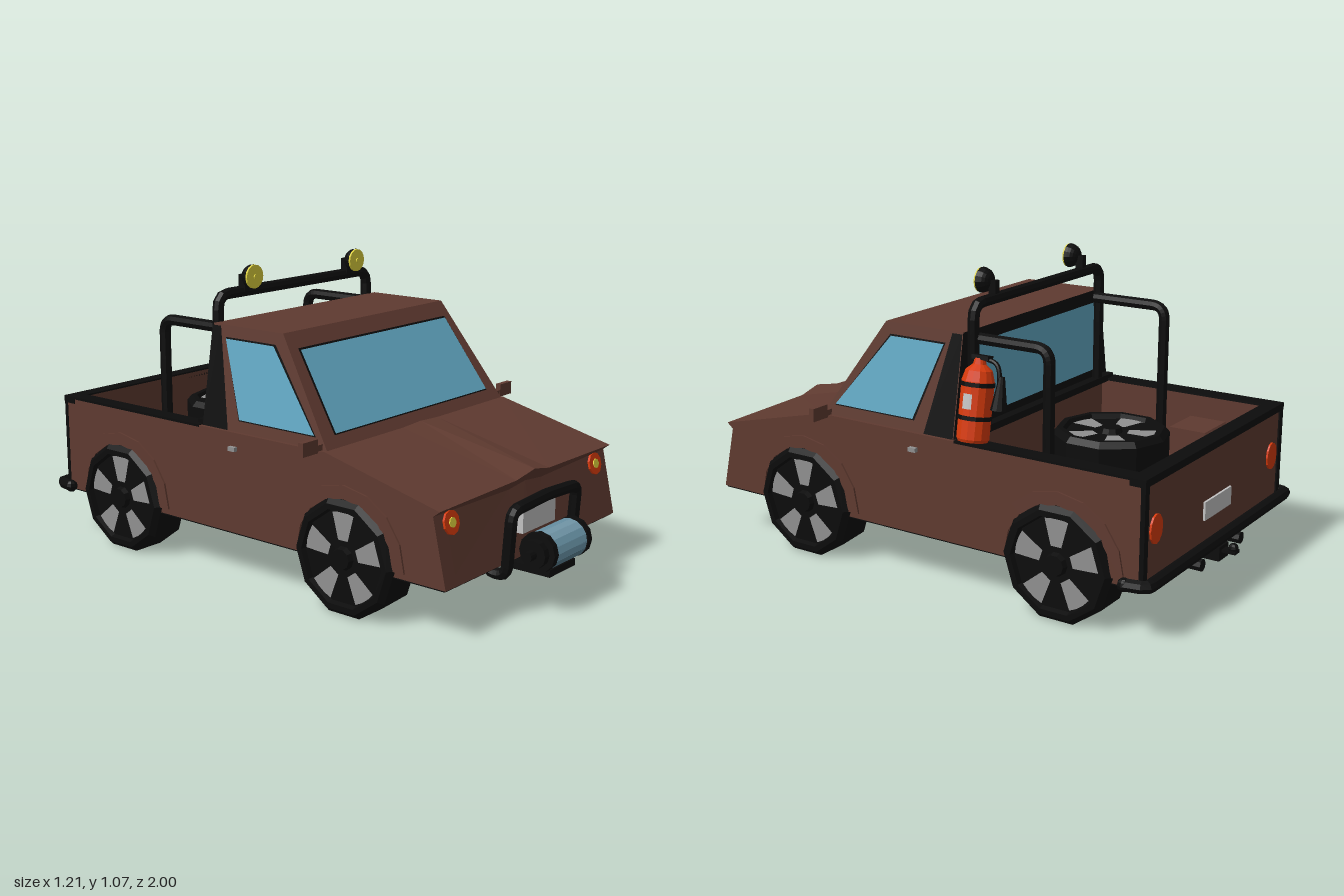
import * as THREE from 'three';

const mat = (name, color) => Object.assign(new THREE.MeshStandardMaterial({ color, flatShading: true }), { name });
const V = (x, y, z) => new THREE.Vector3(x, y, z);

export function createModel() {
  const brown = mat('brown paint', 0x5f3a30), black = mat('black rubber', 0x0c0c0c);
  const glass = mat('blue glass', 0x62a8c4), red = mat('orange red', 0xd63a0c);
  const yellow = mat('lamp yellow', 0xdccf3c), white = mat('plate grey', 0xc2c2c2);
  const grey = mat('wheel grey', 0x909090), steel = mat('cable steel', 0x5d8496);
  const truck = new THREE.Group();
  truck.name = 'pickupTruck';

  function add(name, geo, m, x = 0, y = 0, z = 0, parent = truck) {
    const mesh = new THREE.Mesh(geo, m);
    mesh.name = name;
    mesh.position.set(x, y, z);
    parent.add(mesh);
    return mesh;
  }
  // box from its limits
  const box = (name, m, x0, x1, y0, y1, z0, z1, parent) =>
    add(name, new THREE.BoxGeometry(x1 - x0, y1 - y0, z1 - z0), m, (x0 + x1) / 2, (y0 + y1) / 2, (z0 + z1) / 2, parent);
  // convex faces turned to look along a given direction
  function faces(name, m, list) {
    const pos = [];
    for (const [out, ...p] of list) {
      const n = p[1].clone().sub(p[0]).cross(p[2].clone().sub(p[0]));
      const q = n.dot(out) < 0 ? [...p].reverse() : p;
      for (let i = 1; i < q.length - 1; i++) for (const v of [q[0], q[i], q[i + 1]]) pos.push(v.x, v.y, v.z);
    }
    const g = new THREE.BufferGeometry();
    g.setAttribute('position', new THREE.Float32BufferAttribute(pos, 3));
    g.computeVertexNormals();
    return add(name, g, m);
  }
  // side profile in (z, y), extruded along x between x0 and x1
  function sideExtrude(name, m, pts, x0, x1) {
    const g = new THREE.ExtrudeGeometry(new THREE.Shape(pts.map(([z, y]) => new THREE.Vector2(-z, y))),
      { depth: x1 - x0, bevelEnabled: false });
    g.rotateY(Math.PI / 2);
    return add(name, g, m, x0);
  }
  // tube along straight runs with rounded corners
  function pipe(name, pts, r, m = black, bend = 0.05, parent = truck) {
    const path = new THREE.CurvePath();
    let from = pts[0];
    for (let i = 1; i < pts.length - 1; i++) {
      const toward = t => pts[i].clone().add(t.clone().sub(pts[i]).setLength(Math.min(bend, t.distanceTo(pts[i]) / 2.1)));
      const a = toward(pts[i - 1]), b = toward(pts[i + 1]);
      path.add(new THREE.LineCurve3(from, a));
      path.add(new THREE.QuadraticBezierCurve3(a, pts[i], b));
      from = b;
    }
    path.add(new THREE.LineCurve3(from, pts[pts.length - 1]));
    return add(name, new THREE.TubeGeometry(path, 64, r, 8), m, 0, 0, 0, parent);
  }
  const cylX = (r, len, n = 12) => new THREE.CylinderGeometry(r, r, len, n).rotateZ(Math.PI / 2);
  const cylZ = (r, len, n = 12) => new THREE.CylinderGeometry(r, r, len, n).rotateX(Math.PI / 2);

  // body sides and underside
  const side = [[-0.91, 0.18], [0.857, 0.18], [0.805, 0.41], [0.83, 0.43], [0.37, 0.54], [-0.91, 0.535]];
  sideExtrude('leftBodySide', brown, side, 0.46, 0.52);
  sideExtrude('rightBodySide', brown, side, -0.52, -0.46);
  box('underside', black, -0.515, 0.515, 0.174, 0.19, -0.905, 0.85);

  // nose and hood, with a raised lip at the centre
  const cols = [[-0.52, 0.41, 0.43, 0.83, 0.54], [-0.1, 0.40, 0.437, 0.835, 0.54], [0, 0.41, 0.457, 0.842, 0.545],
    [0.1, 0.40, 0.437, 0.835, 0.54], [0.52, 0.41, 0.43, 0.83, 0.54]]
    .map(([x, yu, yl, zl, yb]) => [V(x, 0.18, 0.857), V(x, yu, 0.805), V(x, yl, zl), V(x, yb, 0.37)]);
  const nose = [], outs = [V(0, 0, 1), V(0, -0.5, 1), V(0, 1, 0.2)];
  for (let i = 0; i < 4; i++) for (let j = 0; j < 3; j++) {
    const [a, b, c, d] = [cols[i][j], cols[i + 1][j], cols[i + 1][j + 1], cols[i][j + 1]];
    nose.push([outs[j], a, b, c], [outs[j], a, c, d]);
  }
  faces('hoodAndNose', brown, nose);

  // cab: sloped shell with glass plates
  const cx = (y, o = 0) => 0.507 - (y - 0.54) / 0.35 * 0.06 + o;
  const cz = (y, o = 0) => 0.37 - (y - 0.54) / 0.35 * 0.24 + o;
  const bz = -0.19, F = V(0, 0, 1), B = V(0, 0, -1), y0 = 0.535, y1 = 0.89;
  const sx = [1, -1];
  faces('cabShell', brown, [
    [F, V(-cx(y0), y0, cz(y0)), V(cx(y0), y0, cz(y0)), V(cx(y1), y1, cz(y1)), V(-cx(y1), y1, cz(y1))],
    [V(0, 1, 0), V(-cx(y1), y1, cz(y1)), V(cx(y1), y1, cz(y1)), V(cx(y1), y1, bz), V(-cx(y1), y1, bz)],
    ...sx.map(s => [V(s, 0, 0), V(s * cx(y0), y0, cz(y0)), V(s * cx(y1), y1, cz(y1)), V(s * cx(y1), y1, bz), V(s * cx(y0), y0, bz)])]);
  faces('cabRearFrame', black, [
    [B, V(-cx(y0), y0, bz), V(cx(y0), y0, bz), V(cx(y1), y1, bz), V(-cx(y1), y1, bz)],
    ...sx.map(s => [V(s, 0, 0), ...[[0.54, -0.07], [0.54, bz], [0.885, bz], [0.885, -0.15]].map(([y, z]) => V(s * cx(y, 0.005), y, z))])]);
  const across = (y, w, z) => [V(-w, y, z), V(w, y, z)];
  const pane = (ya, wa, za, yb, wb, zb) => [...across(ya, wa, za), ...across(yb, wb, zb).reverse()];
  faces('windshieldSeal', black, [[F, ...pane(0.577, 0.442, cz(0.577, 0.004), 0.84, 0.415, cz(0.84, 0.004))]]);
  faces('windshield', glass, [[F, ...pane(0.582, 0.437, cz(0.582, 0.008), 0.835, 0.41, cz(0.835, 0.008))]]);
  faces('rearWindow', glass, [[B, ...pane(0.585, 0.43, bz - 0.005, 0.845, 0.39, bz - 0.005)]]);
  const sideWin = (name, m, g, o) => faces(name, m, sx.map(s => [V(s, 0, 0),
    ...[[0.582 - g, 0.315 + g], [0.582 - g, -0.02 - g], [0.845 + g, -0.12 - g], [0.845 + g, 0.1 + g]].map(([y, z]) => V(s * cx(y, o), y, z))]));
  sideWin('sideWindowSeals', black, 0.005, 0.003);
  sideWin('sideWindows', glass, 0, 0.007);

  // cargo bed
  box('bedFrontWall', brown, -0.47, 0.47, 0.19, 0.537, -0.2, -0.17);
  box('bedFloor', brown, -0.47, 0.47, 0.33, 0.35, -0.88, -0.18);
  box('tailgate', brown, -0.515, 0.515, 0.18, 0.535, -0.91, -0.86);
  box('tailgateRim', black, -0.522, 0.522, 0.515, 0.541, -0.917, -0.86);
  box('bedFrontRim', black, -0.5, 0.5, 0.53, 0.555, -0.225, -0.19);
  for (const s of sx) {
    const lo = (a, b) => [Math.min(s * a, s * b), Math.max(s * a, s * b)];
    box('bedSideRim', black, ...lo(0.46, 0.521), 0.532, 0.541, -0.91, -0.2);
    box('tailgateEdge', black, ...lo(0.495, 0.521), 0.19, 0.535, -0.916, -0.9);
    sideExtrude('bedWheelBox', brown, [[-0.79, 0.35], [-0.43, 0.35], [-0.58, 0.45], [-0.72, 0.45]], ...lo(0.29, 0.47));
    box('mirror', brown, ...lo(0.53, 0.605), 0.535, 0.582, 0.332, 0.352);
    box('mirrorArm', brown, ...lo(0.49, 0.54), 0.54, 0.56, 0.335, 0.35);
    box('doorHandle', grey, ...lo(0.515, 0.535), 0.475, 0.49, -0.05, -0.02);
    // lamps
    const lamp = new THREE.Group();
    lamp.name = 'headlight';
    lamp.position.set(s * 0.44, 0.375, 0.815);
    lamp.rotation.x = -0.22;
    truck.add(lamp);
    add('headlightRing', cylZ(0.04, 0.012, 10), red, 0, 0, 0, lamp);
    add('headlightCentre', cylZ(0.017, 0.016, 8), yellow, 0, 0, 0.002, lamp);
    add('tailLight', cylZ(0.04, 0.01, 12), red, s * 0.44, 0.36, -0.912).scale.y = 1.25;
    // roof lamps
    add('roofLampCup', new THREE.SphereGeometry(0.044, 14, 6, 0, Math.PI * 2, 0, Math.PI / 2).rotateX(-Math.PI / 2), black, s * 0.283, 1.036, -0.152);
    add('roofLampLens', cylZ(0.042, 0.008, 16), yellow, s * 0.283, 1.036, -0.15);
    add('roofLampBulb', cylZ(0.008, 0.008, 8), yellow, s * 0.283, 1.036, -0.145);
    box('roofLampStalk', black, s * 0.283 - 0.012, s * 0.283 + 0.012, 0.98, 1.04, -0.215, -0.185);
    pipe('sideRollBar', [V(s * 0.395, 0.865, -0.2), V(s * 0.395, 0.865, -0.49), V(s * 0.395, 0.35, -0.49)], 0.02);
    // wheel arch flares
    for (const z of [0.455, -0.605]) {
      const arch = [];
      for (const [r, dir] of [[0.245, 1], [0.2, -1]]) for (let i = 0; i <= 8; i++) {
        const a = Math.PI * (dir > 0 ? i : 8 - i) / 8;
        arch.push([z + r * Math.cos(a), 0.2 + r * Math.sin(a)]);
      }
      sideExtrude('wheelArch', brown, arch, ...lo(0.515, 0.527));
    }
  }
  pipe('rollHoop', [V(-0.41, 0.54, -0.205), V(-0.41, 0.98, -0.205), V(0.41, 0.98, -0.205), V(0.41, 0.54, -0.205)], 0.02);

  // wheels: ten-sided tyre with five grey rim openings
  function wheel(name) {
    const g = new THREE.Group();
    g.name = name;
    const prof = [[0, -0.08], [0.185, -0.08], [0.206, -0.06], [0.206, 0.06], [0.188, 0.08], [0.168, 0.08], [0.162, 0.062], [0, 0.062]];
    add('tyre', new THREE.LatheGeometry(prof.map(p => new THREE.Vector2(...p)), 10), black, 0, 0, 0, g);
    const gap = new THREE.Shape([[-0.02, 0.06], [0.02, 0.06], [0.044, 0.15], [0, 0.158], [-0.044, 0.15]].map(p => new THREE.Vector2(...p)));
    for (let k = 0; k < 5; k++) {
      const plate = new THREE.ShapeGeometry(gap).rotateX(-Math.PI / 2).rotateY(Math.PI / 2 + k * Math.PI * 0.4);
      add('rimPlate', plate, grey, 0, 0.066, 0, g);
    }
    add('hub', new THREE.CylinderGeometry(0.035, 0.042, 0.02, 10), black, 0, 0.07, 0, g);
    return g;
  }
  for (const s of sx) for (const z of [0.455, -0.605]) {
    const holder = new THREE.Group(), w = wheel('wheel');
    holder.name = z > 0 ? 'frontWheel' : 'rearWheel';
    w.rotation.z = -Math.PI / 2;
    holder.add(w);
    holder.position.set(s * 0.463, 0.2, z);
    if (s < 0) holder.rotation.y = Math.PI;
    truck.add(holder);
  }
  const spare = wheel('spareWheel');
  spare.position.set(0, 0.43, -0.5);
  truck.add(spare);

  // front guard bar, number plates and winch
  pipe('bullBar', [V(-0.2, 0.19, 0.8), V(-0.2, 0.145, 0.8), V(-0.2, 0.145, 0.87), V(-0.2, 0.365, 0.885), V(0, 0.378, 0.89),
    V(0.2, 0.365, 0.885), V(0.2, 0.145, 0.87), V(0.2, 0.145, 0.8), V(0.2, 0.19, 0.8)], 0.021, black, 0.035);
  box('frontPlate', white, -0.1, 0.1, 0.26, 0.35, 0.83, 0.865);
  box('rearPlate', white, -0.1, 0.1, 0.28, 0.345, -0.918, -0.908);
  const wy = 0.215, wz = 0.932;
  add('winchDrum', cylX(0.058, 0.19, 16), steel, 0, wy, wz);
  for (let i = 0; i < 15; i++)
    add('cableTurn', new THREE.TorusGeometry(0.06, 0.007, 5, 16).rotateY(Math.PI / 2), steel, -0.087 + i * 0.0124, wy, wz);
  for (const s of sx) {
    add('winchFlange', cylX(0.068, 0.025), black, s * 0.106, wy, wz);
    add('winchMotor', cylX(0.048, 0.03), black, s * 0.13, wy, wz);
    add('winchAxle', cylX(0.017, 0.04), black, s * 0.158, wy, wz);
  }
  box('winchTray', black, -0.08, 0.08, 0.125, 0.15, 0.8, 0.96);

  // rear bumper and tow hitch
  pipe('rearBumper', [V(-0.55, 0.2, -0.865), V(-0.535, 0.2, -0.938), V(0.535, 0.2, -0.938), V(0.55, 0.2, -0.865)], 0.022, black, 0.02);
  for (const s of sx) {
    add('bumperEnd', new THREE.SphereGeometry(0.023, 8, 6), black, s * 0.55, 0.2, -0.865);
    add('exhaust', cylZ(0.022, 0.15, 8), black, s * 0.15, 0.145, -0.865);
  }
  box('hitchBar', black, -0.035, 0.035, 0.12, 0.17, -0.945, -0.78);
  box('hitchTongue', black, -0.018, 0.018, 0.148, 0.158, -0.995, -0.94);
  add('hitchBall', new THREE.SphereGeometry(0.018, 8, 6), black, 0, 0.165, -0.98);

  // fire extinguisher, leaning against the cab
  const ext = new THREE.Group();
  ext.name = 'fireExtinguisher';
  ext.position.set(0.512, 0.55, -0.27);
  ext.rotation.z = 0.17;
  truck.add(ext);
  const bottle = [[0, 0], [0.05, 0], [0.055, 0.01], [0.055, 0.2], [0.045, 0.235], [0.022, 0.255], [0.018, 0.275], [0, 0.275]];
  add('bottle', new THREE.LatheGeometry(bottle.map(p => new THREE.Vector2(...p)), 14), red, 0, 0, 0, ext);
  for (const y of [0.08, 0.19]) add('strap', new THREE.CylinderGeometry(0.058, 0.058, 0.014, 14), black, 0, y, 0, ext);
  add('label', new THREE.CylinderGeometry(0.0565, 0.0565, 0.05, 4, 1, true, 1.3, 0.6), white, 0.001, 0.135, 0, ext);
  box('valve', black, -0.015, 0.015, 0.27, 0.285, -0.04, 0.025, ext);
  pipe('hose', [V(0, 0.275, -0.02), V(0, 0.265, -0.075), V(0, 0.19, -0.085)], 0.008, black, 0.04, ext);
  add('horn', new THREE.CylinderGeometry(0.01, 0.028, 0.11, 10), black, 0, 0.17, -0.09, ext);
  return truck;
}
